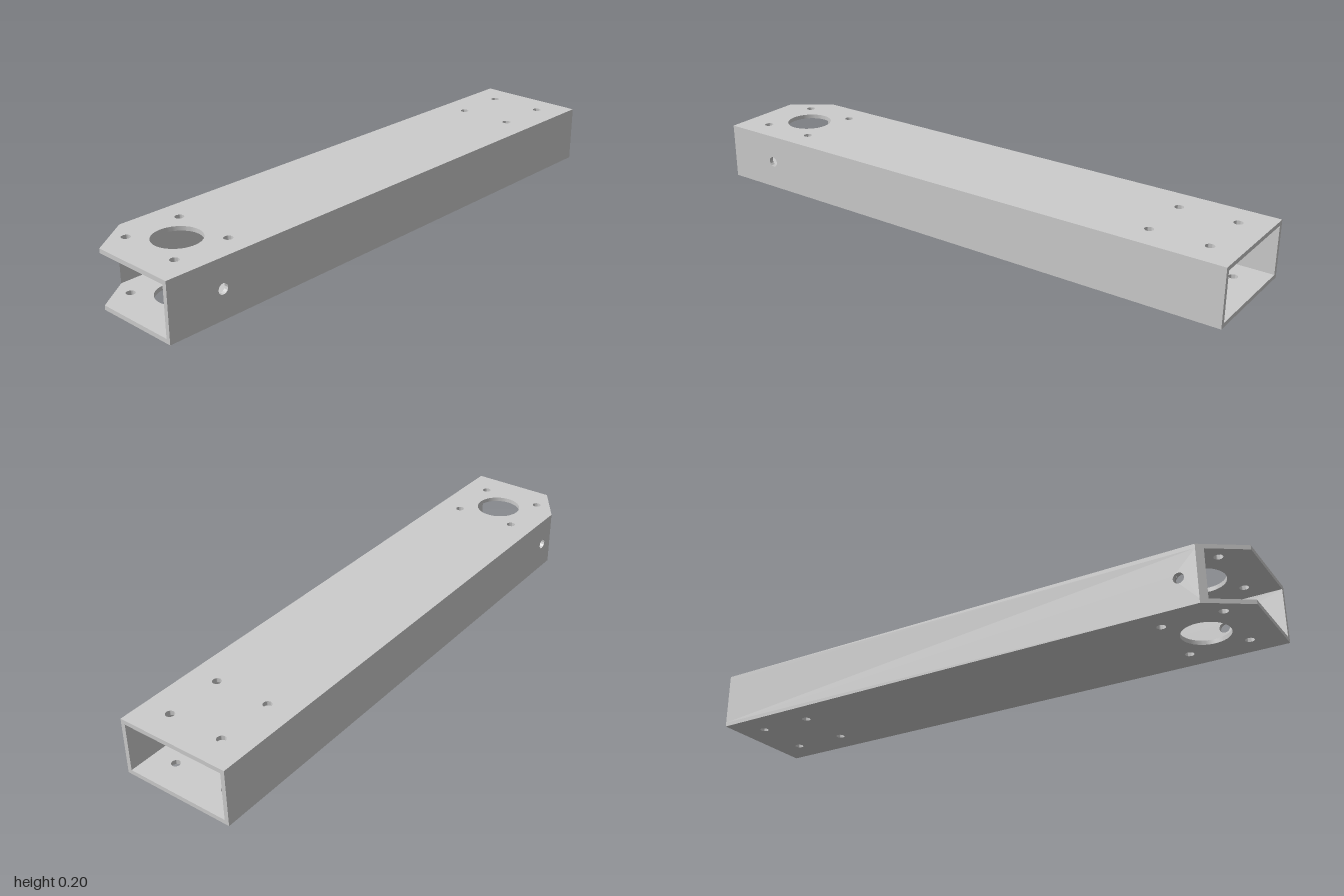
import * as THREE from 'three';
import { toCreasedNormals } from 'three/addons/utils/BufferGeometryUtils.js';

const W = 0.2, H = 0.2, L = 1, T = 0.015; // half width, height, half length, wall
const CUT_X = -0.104, CUT_Z = 0.86;       // ends of the chamfered front corner

// Extruded panel from outline points and round holes [x, y, radius]
function panel(points, holes) {
  const shape = new THREE.Shape(points.map(([x, y]) => new THREE.Vector2(x, y)));
  for (const [x, y, r] of holes) {
    shape.holes.push(new THREE.Path().absarc(x, y, r, 0, Math.PI * 2, true));
  }
  return new THREE.ExtrudeGeometry(shape, { depth: T, bevelEnabled: false, curveSegments: 32 });
}

export function createModel() {
  const group = new THREE.Group();
  const material = new THREE.MeshStandardMaterial({ color: 0xcccccc });
  const add = (name, geometry) => {
    const mesh = new THREE.Mesh(toCreasedNormals(geometry, 0.6), material);
    mesh.name = name;
    group.add(mesh);
  };

  // Bolt holes at both ends and the large bore at the front
  const plateHoles = [[0, 0.8, 0.08]];
  for (const side of [-1, 1]) {
    for (const z of [-0.9, -0.7]) plateHoles.push([side * 0.1, z, 0.015]);
    for (const z of [0.7, 0.9]) plateHoles.push([side * 0.113, z, 0.015]);
  }

  // Top and bottom plates with one chamfered corner
  const outline = [[-W, -L], [W, -L], [W, L], [CUT_X, L], [-W, CUT_Z]];
  for (const [name, y] of [['topPlate', H], ['bottomPlate', T]]) {
    add(name, panel(outline, plateHoles).rotateX(Math.PI / 2).translate(0, y, 0));
  }

  // Side walls, each with a cross hole near the front
  const wall = (end) => panel(
    [[-L, T], [end, T], [end, H - T], [-L, H - T]],
    [[0.8, H / 2, 0.018]]
  ).rotateY(-Math.PI / 2);
  add('leftWall', wall(L).translate(W, 0, 0));

  // The right wall is shorter; its front end follows the chamfer
  const rightWall = wall(CUT_Z).translate(-W + T, 0, 0);
  const pos = rightWall.attributes.position;
  const slope = (L - CUT_Z) / (CUT_X + W);
  for (let i = 0; i < pos.count; i++) {
    if (pos.getZ(i) > CUT_Z - 0.001) pos.setZ(i, CUT_Z + (pos.getX(i) + W) * slope);
  }
  rightWall.computeVertexNormals();
  add('rightWall', rightWall);

  return group;
}
